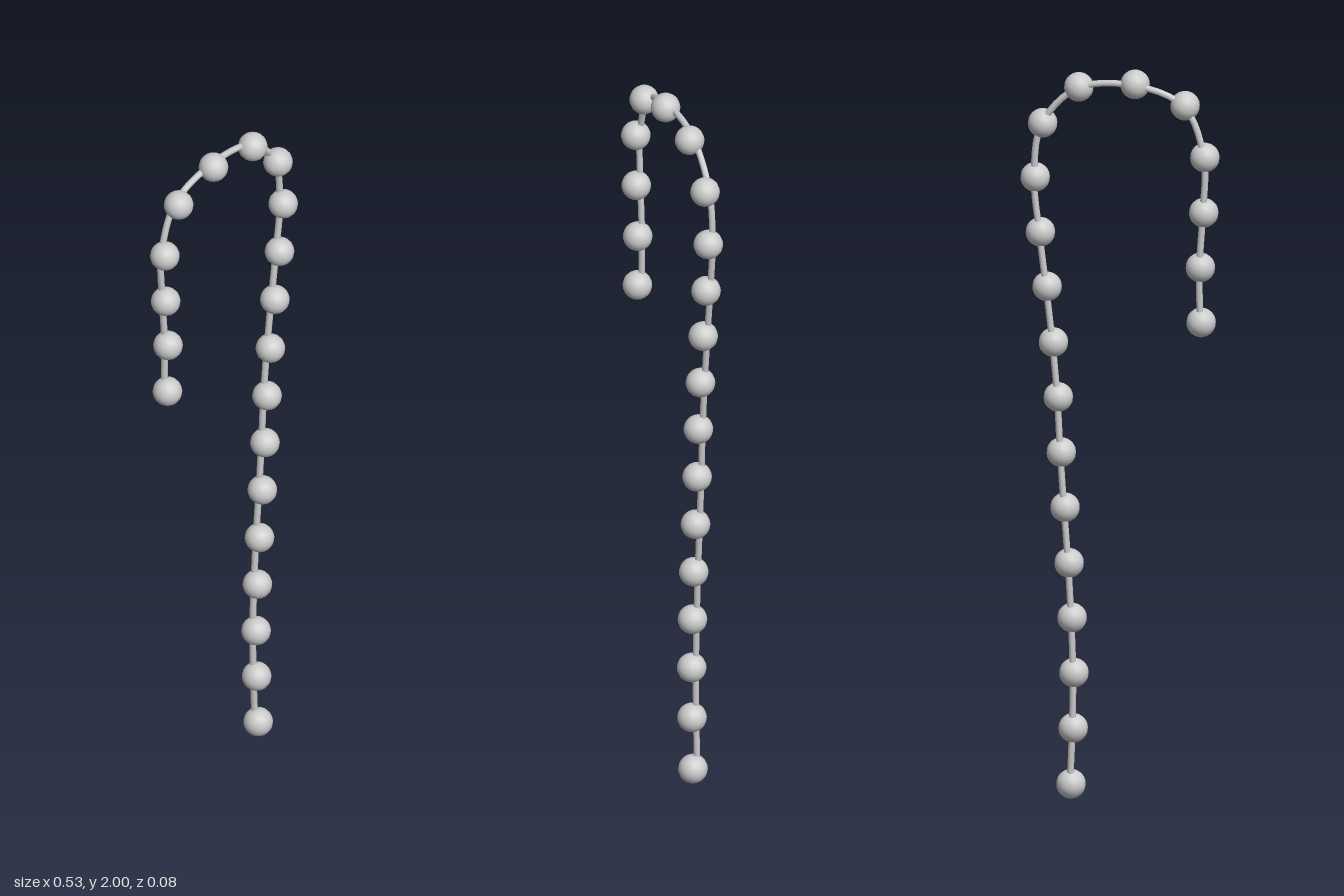
import * as THREE from 'three';

// Bead centres along the strand, from the long tail over the hook to the short end
const BEADS = [
  [0.13, 0.04], [0.124, 0.193], [0.122, 0.344], [0.127, 0.494], [0.135, 0.643],
  [0.146, 0.794], [0.156, 0.944], [0.164, 1.094], [0.177, 1.243], [0.194, 1.394],
  [0.212, 1.542], [0.226, 1.691], [0.206, 1.84], [0.109, 1.945], [-0.042, 1.962],
  [-0.176, 1.913], [-0.229, 1.775], [-0.226, 1.624], [-0.217, 1.474], [-0.219, 1.324],
];
const BEAD_RADIUS = 0.039;
const CORD_RADIUS = 0.009;
const CORD_Z = -0.012;

export function createModel() {
  const group = new THREE.Group();
  group.name = 'beadedChain';
  const material = new THREE.MeshStandardMaterial({ color: 0xcccccc });

  // Beads
  const beadGeometry = new THREE.SphereGeometry(BEAD_RADIUS, 16, 12);
  BEADS.forEach(([x, y], i) => {
    const bead = new THREE.Mesh(beadGeometry, material);
    bead.name = `bead${i + 1}`;
    bead.position.set(x, y, 0);
    group.add(bead);
  });

  // Cord threaded slightly behind the bead centres, ending inside the end beads
  const path = new THREE.CatmullRomCurve3(
    BEADS.map(([x, y]) => new THREE.Vector3(x, y, CORD_Z)));
  const cord = new THREE.Mesh(
    new THREE.TubeGeometry(path, 114, CORD_RADIUS, 8), material);
  cord.name = 'cord';
  group.add(cord);

  return group;
}
